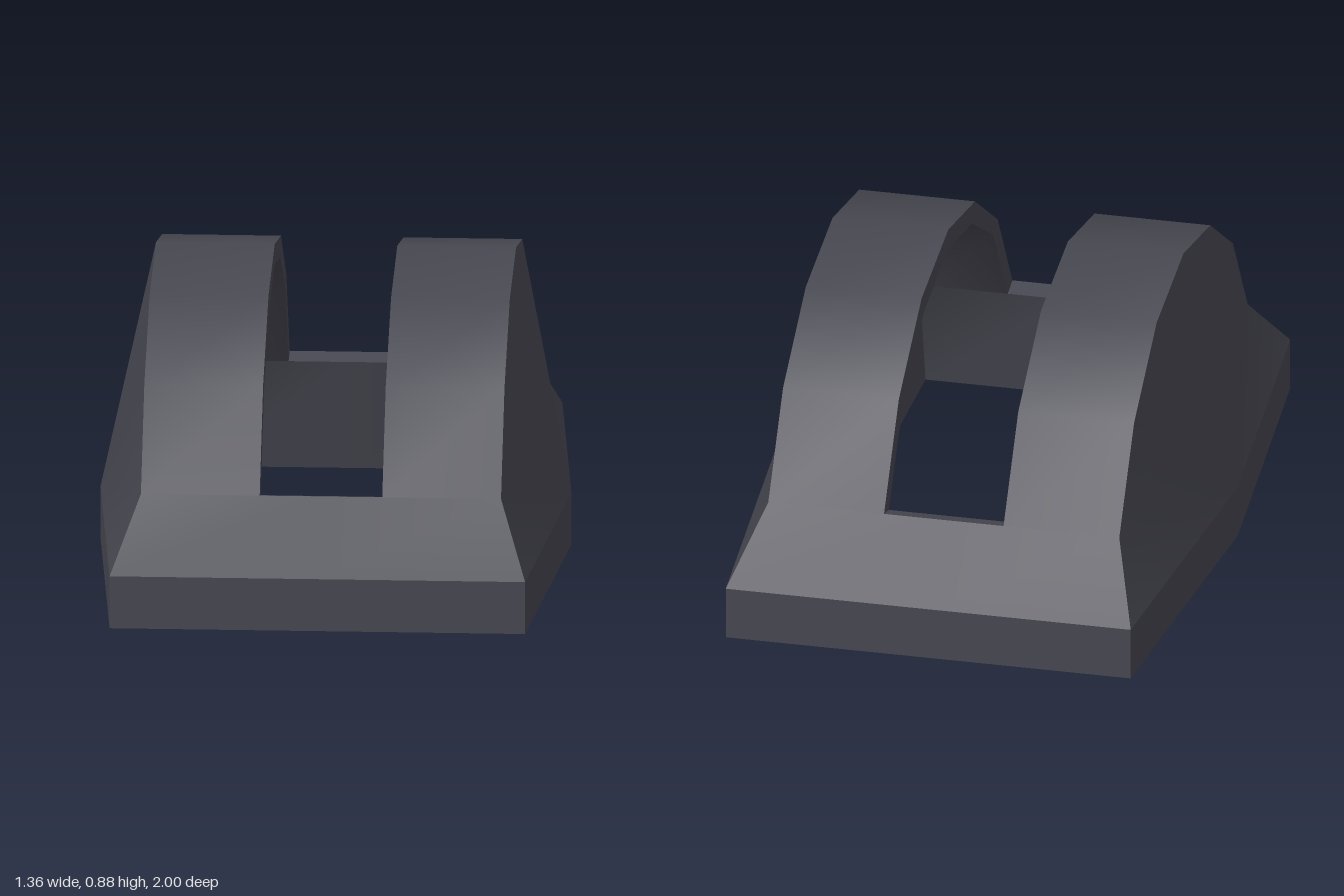
import * as THREE from 'three';
import { toCreasedNormals } from 'three/addons/utils/BufferGeometryUtils.js';

// Arch profiles from front (+z) to the peak: [z, y, half width]
const mirrorProfile = (half) => [...half, ...half.slice(0, -1).reverse().map(([z, y, w]) => [-z, y, w])];
const OUTER = mirrorProfile([[1, 0.155, 0.6], [0.805, 0.35, 0.52], [0.62, 0.63, 0.52], [0.335, 0.82, 0.52], [0, 0.885, 0.52]]);
const INNER = mirrorProfile([[0.815, 0, 0.437], [0.745, 0.335, 0.437], [0.56, 0.61, 0.437], [0.3, 0.765, 0.437], [0, 0.825, 0.437]]);
const SLOT = 0.177, BASE = 0.155, BULGE = 0.68;

export function createModel() {
  const group = new THREE.Group();
  const darkGrey = new THREE.MeshStandardMaterial({ color: 0x474751 });
  darkGrey.name = 'darkGrey';

  // Collects polygons for the +x half and mirrors each one to -x
  function addPart(name, build) {
    const pos = [];
    const fan = (pts) => {
      for (let i = 1; i < pts.length - 1; i++) pos.push(...pts[0], ...pts[i], ...pts[i + 1]);
    };
    build((...pts) => {
      fan(pts);
      fan(pts.map(([x, y, z]) => [-x, y, z]).reverse());
    });
    const geo = new THREE.BufferGeometry();
    geo.setAttribute('position', new THREE.Float32BufferAttribute(pos, 3));
    geo.computeVertexNormals();
    const mesh = new THREE.Mesh(toCreasedNormals(geo, 0.5), darkGrey);
    mesh.name = name;
    group.add(mesh);
  }

  const at = (p, x) => [x, p[1], p[0]];
  const edge = (p) => at(p, p[2]);
  const last = OUTER.length - 1;
  // The slot runs through every strip except the two end ones
  const slotAt = (i) => (i === 0 || i === last - 1 ? 0 : SLOT);

  addPart('archRoof', (poly) => {
    for (let i = 0; i < last; i++) {
      const a = OUTER[i], b = OUTER[i + 1], s = slotAt(i);
      poly(at(a, s), edge(a), edge(b), at(b, s));
    }
  });

  // Side cheeks fan out from the widest point of the base
  addPart('sideCheeks', (poly) => {
    for (let i = 0; i < last; i++) poly([BULGE, BASE, 0], edge(OUTER[i + 1]), edge(OUTER[i]));
  });

  addPart('baseSkirt', (poly) => {
    const ring = [[0, 1], [0.6, 1], [BULGE, 0], [0.6, -1], [0, -1]];
    for (let i = 0; i < ring.length - 1; i++) {
      const [x0, z0] = ring[i], [x1, z1] = ring[i + 1];
      poly([x0, 0, z0], [x1, 0, z1], [x1, BASE, z1], [x0, BASE, z0]);
    }
  });

  // Flat underside around the hollow
  addPart('bottomRim', (poly) => {
    const [iz, , ix] = INNER[0];
    const out = [[0, 1], [0.6, 1], [BULGE, 0], [0.6, -1], [0, -1]];
    const inn = [[0, iz], [ix, iz], [ix, 0], [ix, -iz], [0, -iz]];
    const p = ([x, z]) => [x, 0, z];
    for (let i = 0; i < 4; i++) poly(p(inn[i]), p(inn[i + 1]), p(out[i + 1]), p(out[i]));
  });

  addPart('innerHollow', (poly) => {
    for (let i = 0; i < last; i++) {
      const a = INNER[i], b = INNER[i + 1], s = slotAt(i);
      poly(at(b, s), edge(b), edge(a), at(a, s));
      poly([a[2], 0, 0], edge(a), edge(b));
    }
  });

  // Thickness of the shell around the slot
  addPart('slotWalls', (poly) => {
    for (let i = 1; i < last - 1; i++) {
      poly(at(OUTER[i], SLOT), at(OUTER[i + 1], SLOT), at(INNER[i + 1], SLOT), at(INNER[i], SLOT));
    }
    const f = 1, b = last - 1;
    poly(at(OUTER[f], 0), at(OUTER[f], SLOT), at(INNER[f], SLOT), at(INNER[f], 0));
    poly(at(INNER[b], 0), at(INNER[b], SLOT), at(OUTER[b], SLOT), at(OUTER[b], 0));
  });

  return group;
}
